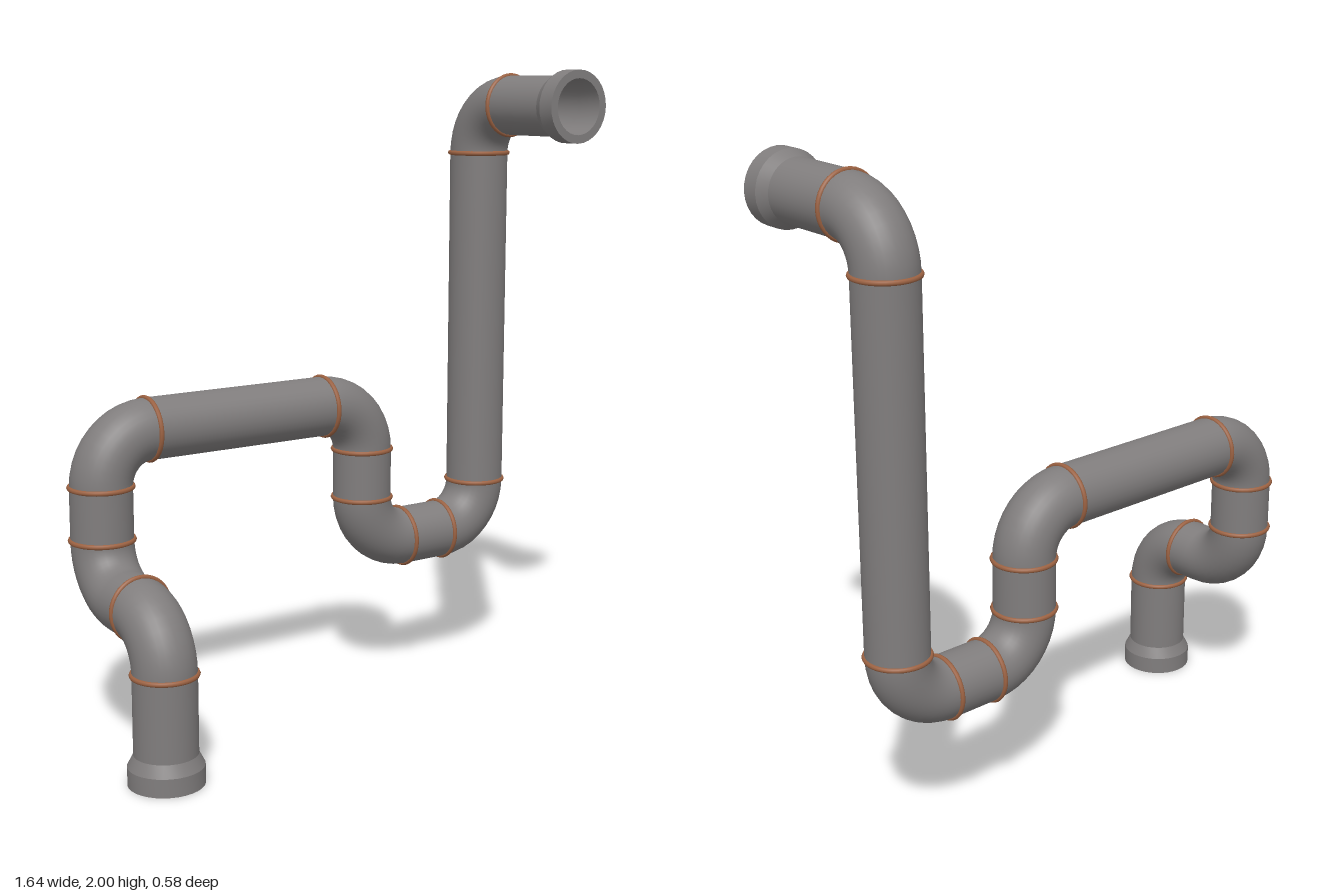
import * as THREE from 'three';
import { toCreasedNormals } from 'three/addons/utils/BufferGeometryUtils.js';

const PIPE = 0.094, BORE = 0.082, BEND = 0.155, SIDES = 32;
const UP = new THREE.Vector3(0, 1, 0);

// Corner points of the centre line, from the lower mouth to the upper one
const PATH = [
  [-0.707, 0, 0.178], [-0.707, 0.48, 0.178], [-0.707, 0.48, -0.187], [-0.707, 0.95, -0.187],
  [0.235, 0.95, -0.187], [0.235, 0.48, -0.187], [0.705, 0.48, -0.187], [0.705, 1.888, -0.187],
  [0.705, 1.888, 0.29],
].map((p) => new THREE.Vector3(...p));

export function createModel() {
  const group = new THREE.Group();
  const steel = new THREE.MeshStandardMaterial({ color: 0x807d7d, side: THREE.DoubleSide });
  steel.name = 'grey steel';
  const copper = new THREE.MeshStandardMaterial({ color: 0x9c6242 });
  copper.name = 'copper';

  function add(name, geometry, material, position) {
    const mesh = new THREE.Mesh(geometry, material);
    mesh.name = name;
    mesh.position.copy(position);
    group.add(mesh);
    return mesh;
  }

  // Open cylinder between two points
  function straight(name, from, to, radius) {
    const length = from.distanceTo(to);
    const mesh = add(name, new THREE.CylinderGeometry(radius, radius, length, SIDES, 1, true), steel,
      from.clone().lerp(to, 0.5));
    mesh.quaternion.setFromUnitVectors(UP, to.clone().sub(from).normalize());
  }

  // Quarter bend at a corner, turning from direction a to direction b
  function elbow(name, corner, a, b, radius) {
    const centre = corner.clone().addScaledVector(a, -BEND).addScaledVector(b, BEND);
    const mesh = add(name, new THREE.TorusGeometry(BEND, radius, SIDES, 10, Math.PI / 2), steel, centre);
    const u = b.clone().negate();
    mesh.quaternion.setFromRotationMatrix(
      new THREE.Matrix4().makeBasis(u, a, u.clone().cross(a)));
  }

  // Thin copper band around a joint
  function jointRing(point, dir) {
    const mesh = add('jointRing', new THREE.TorusGeometry(0.094, 0.0075, 8, 40), copper, point);
    mesh.quaternion.setFromUnitVectors(new THREE.Vector3(0, 0, 1), dir);
  }

  // Flared hollow mouth, opening at the point and running along dir
  function mouth(name, point, dir) {
    const profile = [[BORE, 0.1], [0.086, 0], [0.112, 0], [0.112, 0.055], [PIPE, 0.09]]
      .map(([r, y]) => new THREE.Vector2(r, y));
    const geometry = toCreasedNormals(new THREE.LatheGeometry(profile, SIDES), 0.4);
    add(name, geometry, steel, point).quaternion.setFromUnitVectors(UP, dir);
  }

  const last = PATH.length - 1;
  const dirs = PATH.slice(1).map((p, i) => p.clone().sub(PATH[i]).normalize());

  // Straight runs, each with an inner wall
  dirs.forEach((dir, i) => {
    const from = PATH[i].clone().addScaledVector(dir, i === 0 ? 0.09 : BEND);
    const to = PATH[i + 1].clone().addScaledVector(dir, i === last - 1 ? -0.09 : -BEND);
    straight('pipeRun', from, to, PIPE);
    straight('innerWall', from, to, BORE);
  });

  // Elbows with rings at both ends; the short second run has only one ring
  for (let i = 1; i < last; i++) {
    const a = dirs[i - 1], b = dirs[i];
    elbow('elbow', PATH[i], a, b, PIPE);
    elbow('innerElbow', PATH[i], a, b, BORE);
    if (i !== 2) jointRing(PATH[i].clone().addScaledVector(a, -BEND), a);
    jointRing(PATH[i].clone().addScaledVector(b, i === 1 ? 0.135 : BEND), b);
  }

  // Open ends
  mouth('lowerMouth', PATH[0], dirs[0]);
  mouth('upperMouth', PATH[last], dirs[last - 1].clone().negate());

  return group;
}
